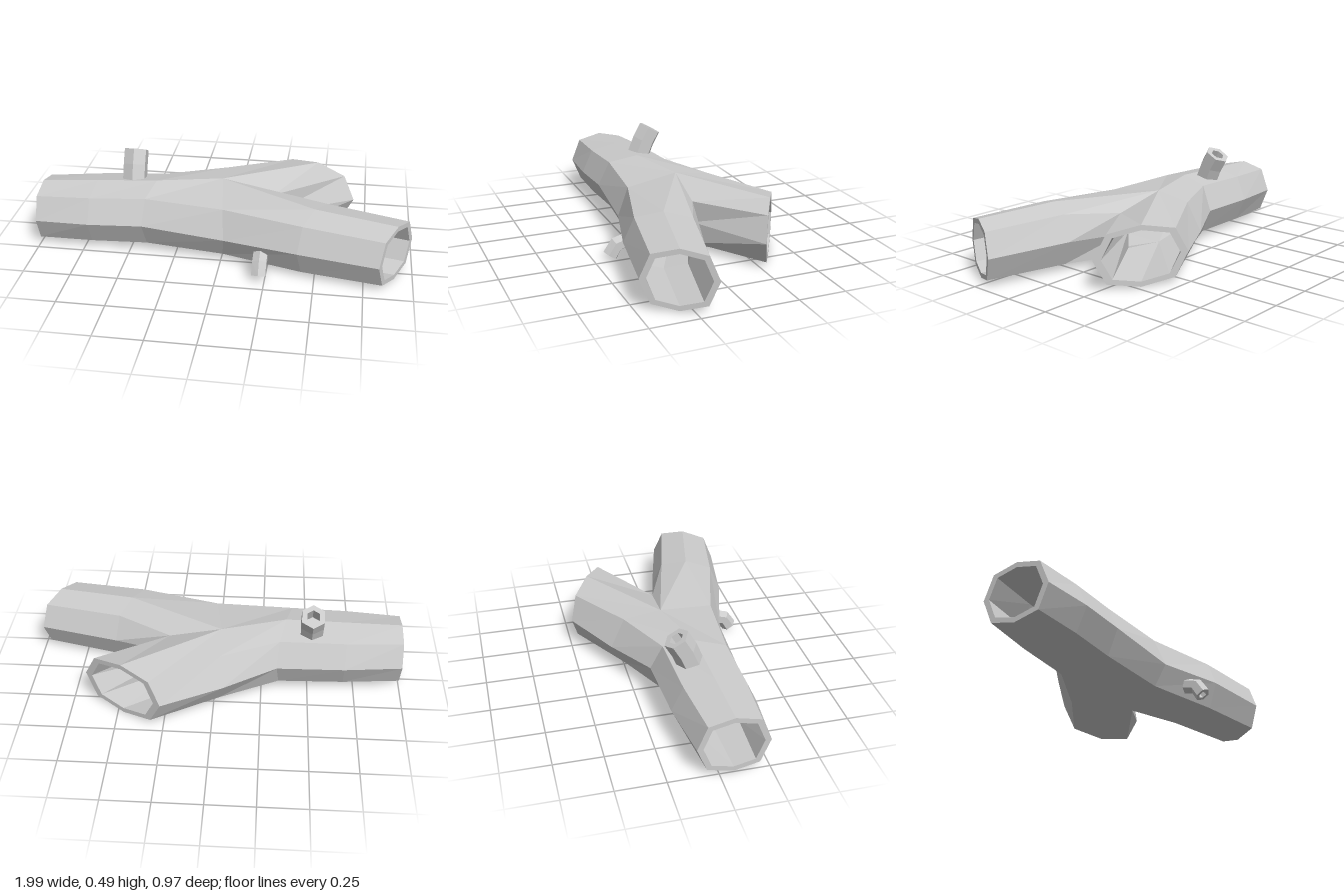
import * as THREE from 'three';

const V = (x, y, z) => new THREE.Vector3(x, y, z);
const material = new THREE.MeshStandardMaterial({ color: 0xcccccc, flatShading: true, side: THREE.DoubleSide });
const WALL = 0.83; // inner size relative to outer

// Octagon between a back and a front side point; order: front, top, back, bottom
function ring([xb, zb], [xf, zf], lo, hi) {
  const cx = (xb + xf) / 2, cz = (zb + zf) / 2, cy = (lo + hi) / 2;
  const horizontal = [1, 0.72, 0, -0.72, -1, -0.72, 0, 0.72];
  const vertical = [0, 0.8, 1, 0.8, 0, -0.8, -1, -0.8];
  return horizontal.map((h, i) => V(cx + (xf - xb) / 2 * h, cy + (hi - lo) / 2 * vertical[i], cz + (zf - zb) / 2 * h));
}

// Shrink a ring towards a point (its own centre by default)
function inset(points, scale = WALL, centre) {
  const c = centre || points.reduce((s, p) => s.add(p), V(0, 0, 0)).divideScalar(points.length);
  return points.map(p => p.clone().sub(c).multiplyScalar(scale).add(c));
}

// Skin a row of rings into triangles
function loft(out, rings, closed = true) {
  for (let k = 0; k + 1 < rings.length; k++) {
    const a = rings[k], b = rings[k + 1], n = a.length;
    for (let i = 0; i < (closed ? n : n - 1); i++) {
      const j = (i + 1) % n;
      out.push(a[i], b[i], b[j], a[i], b[j], a[j]);
    }
  }
}

function makeMesh(name, triangles) {
  const geometry = new THREE.BufferGeometry().setFromPoints(triangles);
  geometry.computeVertexNormals();
  const mesh = new THREE.Mesh(geometry, material);
  mesh.name = name;
  return mesh;
}

// Outer skin, rim and inner skin of one arm of the fork
const hollowArm = (fork, innerFork, rings) => {
  const triangles = [];
  loft(triangles, [fork, ...rings, ...rings.map(r => inset(r)).reverse(), innerFork]);
  return triangles;
};

// Short hexagonal hollow twig, bending in the yz plane
function makeTwig(name, path, radius) {
  const rings = path.map((c, k) => {
    const t = path[Math.min(k + 1, path.length - 1)].clone().sub(path[Math.max(k - 1, 0)]).normalize();
    return Array.from({ length: 6 }, (_, i) => {
      const a = Math.PI / 6 + i * Math.PI / 3, s = radius * Math.sin(a);
      return V(c.x + radius * Math.cos(a), c.y - t.z * s, c.z + t.y * s);
    });
  });
  const bore = rings.slice(1).map(r => inset(r, 0.55)).reverse();
  const floor = inset(bore[bore.length - 1], 0);
  const triangles = [];
  loft(triangles, [...rings, ...bore, floor]);
  return makeMesh(name, triangles);
}

export function createModel() {
  const group = new THREE.Group();
  group.name = 'hollowForkedLog';

  // Stem before the fork
  const stem = [
    ring([-1, -0.11], [-1, 0.25], 0.01, 0.32),
    ring([-0.69, -0.155], [-0.71, 0.27], 0.015, 0.335),
    ring([-0.33, -0.175], [-0.42, 0.265], 0.02, 0.35),
  ];
  const innerStem = stem.map(r => inset(r));

  // Seam shared by both arms at the crotch
  const top = V(-0.03, 0.34, -0.05), bottom = V(-0.03, 0.02, -0.05);
  const upper = V(0.25, 0.27, -0.03), crotch = V(0.25, 0.155, -0.03), lower = V(0.25, 0.04, -0.03);
  const trunkFork = [V(0.02, 0.155, 0.3), V(0.01, 0.305, 0.24), top, upper, crotch, lower, bottom, V(0.01, 0.04, 0.24)];
  const branchFork = [crotch, upper, top, V(-0.03, 0.31, -0.25), V(-0.05, 0.16, -0.325), V(-0.03, 0.035, -0.25), bottom, lower];
  const middle = V(-0.1, 0.18, -0.02);
  const innerTrunkFork = inset(trunkFork, WALL, middle);
  const innerBranchFork = inset(branchFork, WALL, middle);

  // Stem skin, then the front and back halves that lead into the arms
  const stemSkin = [];
  loft(stemSkin, [...innerStem.slice().reverse(), ...stem]);
  const pick = (r, ids) => ids.map(i => r[i]);
  for (const [ids, outer, inner] of [
    [[6, 7, 0, 1, 2], trunkFork, innerTrunkFork],
    [[2, 3, 4, 5, 6], branchFork, innerBranchFork],
  ]) {
    loft(stemSkin, [pick(stem[2], ids), pick(outer, ids)], false);
    loft(stemSkin, [pick(inner, ids), pick(innerStem[2], ids)], false);
  }
  group.add(makeMesh('stem', stemSkin));

  // Two hollow arms
  group.add(makeMesh('trunkArm', hollowArm(trunkFork, innerTrunkFork, [
    ring([0.56, 0.04], [0.41, 0.41], 0.005, 0.335),
    ring([0.99, 0.15], [0.82, 0.48], 0.01, 0.317),
  ])));
  group.add(makeMesh('branchArm', hollowArm(branchFork, innerBranchFork, [
    ring([0.26, -0.49], [0.68, -0.24], 0.005, 0.32),
  ])));

  // Twig stubs
  group.add(makeTwig('upperTwig', [V(-0.51, 0.31, -0.01), V(-0.51, 0.395, -0.045), V(-0.51, 0.465, -0.085)], 0.068));
  group.add(makeTwig('lowerTwig', [V(0.22, 0.1, 0.32), V(0.22, 0.085, 0.38), V(0.22, 0.03, 0.415)], 0.042));
  return group;
}
